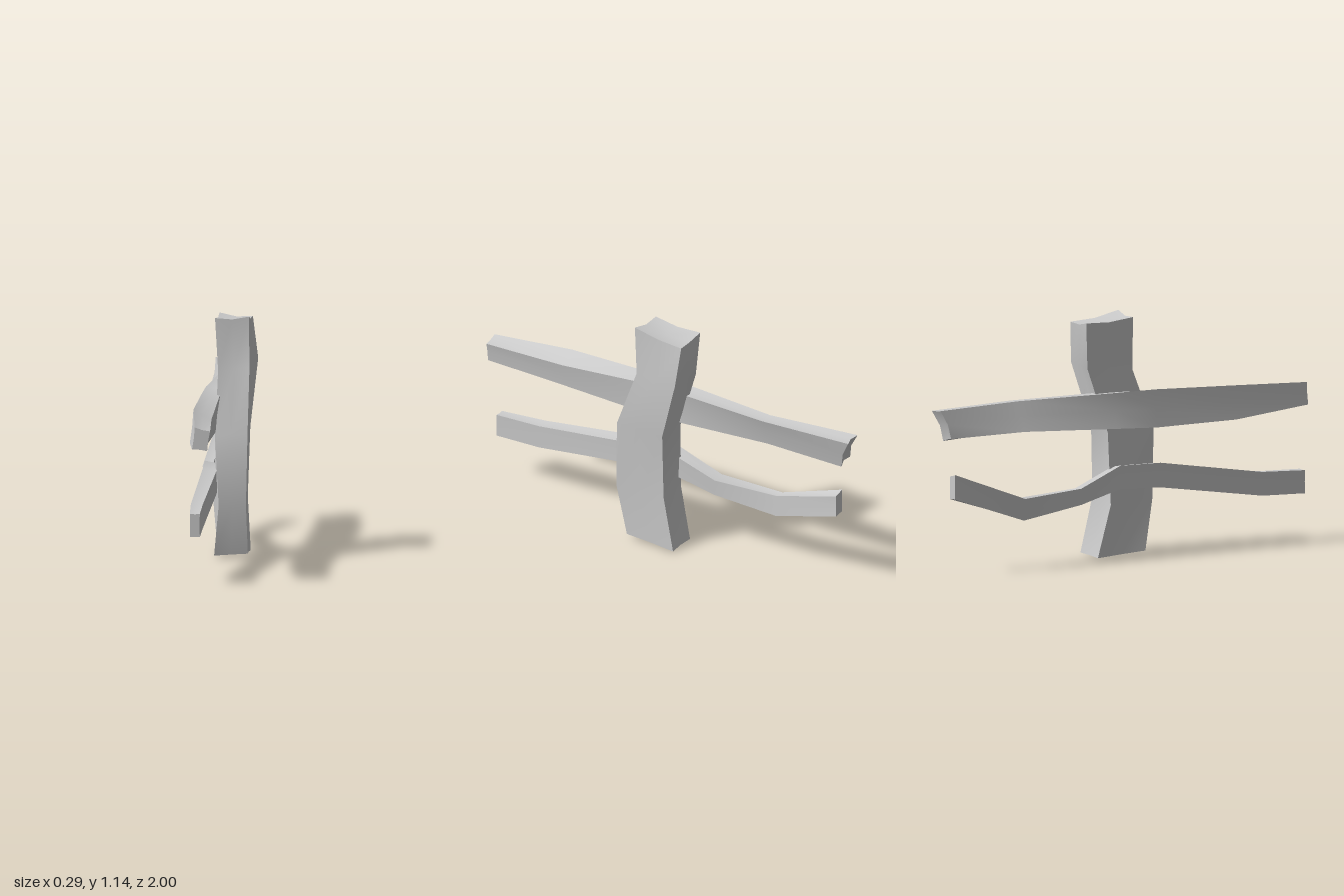
import * as THREE from 'three';
import { toCreasedNormals } from 'three/addons/utils/BufferGeometryUtils.js';

const material = new THREE.MeshStandardMaterial({ color: 0xcccccc });

// Crooked hewn timber: each section is four corners, counter-clockwise seen from the far end.
// Edge midpoints are pulled inward a little, and the end faces are dished by `dish`.
function timber(name, sections, inset, dish) {
  const rings = sections.map((s) => {
    const c = s.map((p) => new THREE.Vector3(...p));
    const centre = new THREE.Vector3();
    c.forEach((p) => centre.addScaledVector(p, 0.25));
    const points = c.flatMap((p, i) => [p, p.clone().lerp(c[(i + 1) % 4], 0.5).lerp(centre, inset)]);
    return { points, centre };
  });

  // Dish both ends toward the neighbouring section
  const last = rings.length - 1;
  for (const [end, next, depth] of [[0, 1, dish[0]], [last, last - 1, dish[1]]]) {
    const dir = rings[next].centre.clone().sub(rings[end].centre).normalize();
    rings[end].points.forEach((p, i) => { if (i % 2) p.addScaledVector(dir, depth * 0.5); });
    rings[end].centre.addScaledVector(dir, depth);
  }

  const vertices = [];
  const tri = (...ps) => ps.forEach((p) => vertices.push(p.x, p.y, p.z));
  for (let k = 0; k < 8; k++) {
    const n = (k + 1) % 8;
    for (let i = 0; i < last; i++) {
      const a = rings[i].points, b = rings[i + 1].points;
      tri(a[k], a[n], b[n]);
      tri(a[k], b[n], b[k]);
    }
    tri(rings[0].centre, rings[0].points[n], rings[0].points[k]);
    tri(rings[last].centre, rings[last].points[k], rings[last].points[n]);
  }
  const geometry = new THREE.BufferGeometry();
  geometry.setAttribute('position', new THREE.Float32BufferAttribute(vertices, 3));
  const mesh = new THREE.Mesh(toCreasedNormals(geometry, 0.75), material);
  mesh.name = name;
  return mesh;
}

// Rail section at z, corners: bottom left, bottom right, top right, top left
const rail = (z, bl, br, tr, tl) => [bl, br, tr, tl].map(([x, y]) => [x, y, z]);

export function createModel() {
  const group = new THREE.Group();
  group.name = 'fence';

  // Upright post, corners: front left, front right, back right, back left
  group.add(timber('post', [
    [[-0.045, 0.015, 0.147], [0.113, 0.025, 0.14], [0.11, 0.005, -0.115], [-0.045, 0, -0.11]],
    [[-0.02, 0.26, 0.2], [0.108, 0.26, 0.2], [0.1, 0.27, -0.056], [-0.062, 0.25, -0.05]],
    [[-0.038, 0.59, 0.195], [0.115, 0.6, 0.195], [0.112, 0.6, -0.056], [-0.045, 0.59, -0.056]],
    [[-0.03, 0.88, 0.085], [0.117, 0.9, 0.083], [0.143, 0.91, -0.147], [-0.025, 0.9, -0.155]],
    [[-0.045, 1.13, 0.08], [0.115, 1.14, 0.094], [0.117, 1.105, -0.165], [-0.04, 1.12, -0.17]],
  ], 0.04, [0, 0.02]));

  // Thick upper rail, running back to front
  const upper = [
    rail(-0.98, [-0.125, 0.65], [-0.05, 0.63], [-0.03, 0.775], [-0.112, 0.785]),
    rail(-0.55, [-0.125, 0.65], [-0.03, 0.645], [0.008, 0.78], [-0.055, 0.785]),
    rail(-0.05, [-0.115, 0.62], [-0.025, 0.615], [-0.01, 0.78], [-0.095, 0.787]),
    rail(0.17, [-0.115, 0.608], [-0.035, 0.605], [-0.02, 0.768], [-0.1, 0.787]),
    rail(0.59, [-0.13, 0.612], [-0.045, 0.612], [-0.028, 0.727], [-0.113, 0.772]),
    rail(1.0, [-0.093, 0.643], [-0.022, 0.637], [-0.008, 0.73], [-0.08, 0.748]),
  ];
  // Slanted sawn end at the back
  upper[0][0][2] = -0.95;
  upper[0][1][2] = -0.95;
  upper[0][2][2] = -1;
  upper[0][3][2] = -1;
  group.add(timber('upperRail', upper, 0.06, [0.025, 0]));

  // Thin lower rail with a bend toward the back
  group.add(timber('lowerRail', [
    rail(-0.917, [-0.105, 0.357], [-0.055, 0.352], [-0.055, 0.46], [-0.105, 0.473]),
    rail(-0.56, [-0.13, 0.23], [-0.088, 0.235], [-0.1, 0.335], [-0.145, 0.335]),
    rail(-0.24, [-0.115, 0.275], [-0.055, 0.268], [-0.055, 0.345], [-0.115, 0.352]),
    rail(-0.02, [-0.1, 0.33], [-0.035, 0.322], [-0.035, 0.43], [-0.1, 0.44]),
    rail(0.2, [-0.095, 0.318], [-0.03, 0.315], [-0.03, 0.425], [-0.095, 0.435]),
    rail(0.74, [-0.115, 0.235], [-0.06, 0.23], [-0.06, 0.343], [-0.115, 0.348]),
    rail(0.975, [-0.105, 0.225], [-0.058, 0.225], [-0.058, 0.335], [-0.105, 0.335]),
  ], 0.03, [0, 0]));

  return group;
}
